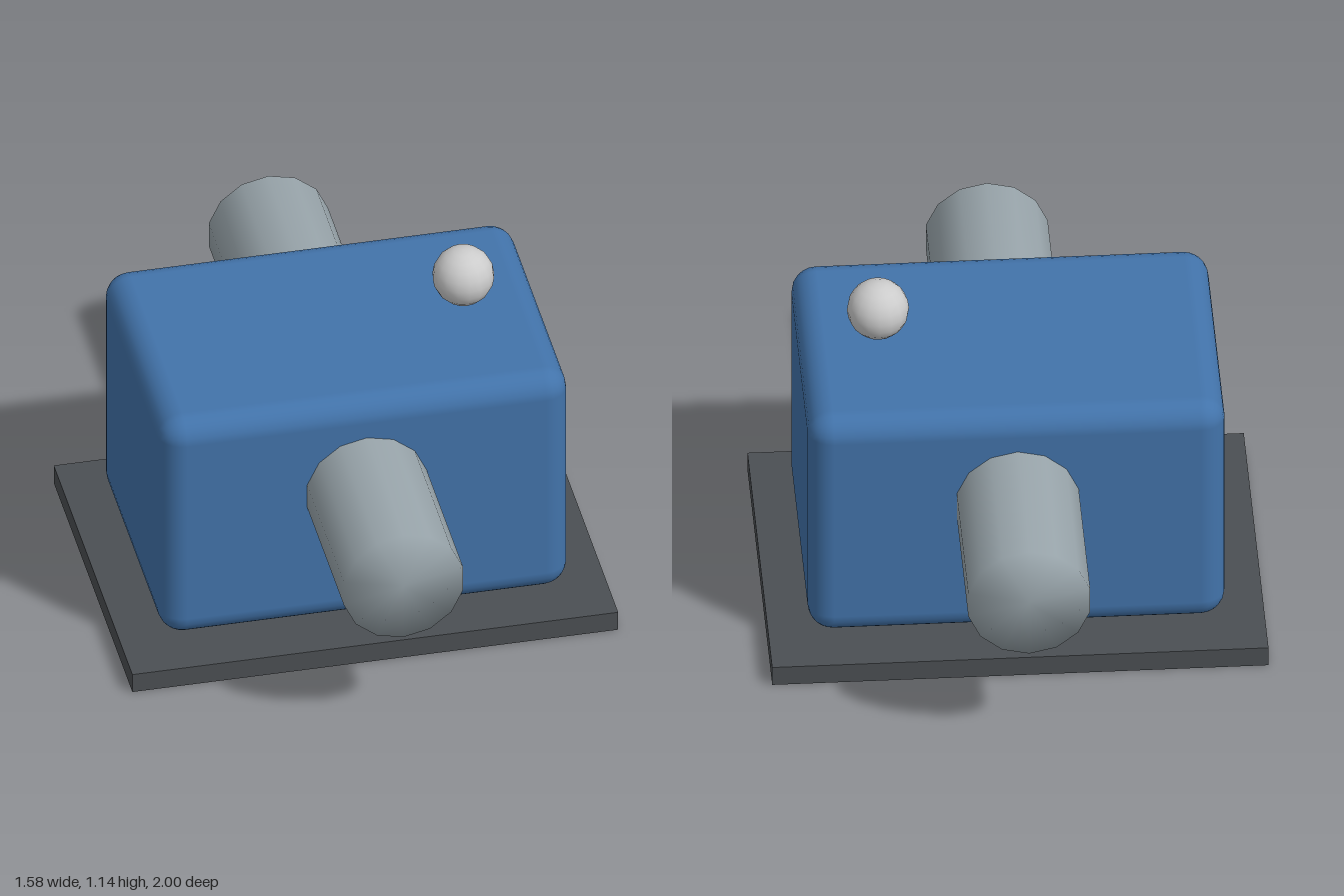
import * as THREE from 'three';
import { mergeVertices } from 'three/addons/utils/BufferGeometryUtils.js';
import { RoundedBoxGeometry } from 'three/addons/geometries/RoundedBoxGeometry.js';

// Welds every edge so that shading runs smoothly over the rims
function weld(geometry) {
  geometry.deleteAttribute('normal');
  geometry.deleteAttribute('uv');
  const welded = mergeVertices(geometry, 1e-4);
  welded.computeVertexNormals();
  return welded;
}

export function createModel() {
  const model = new THREE.Group();

  const add = (name, geometry, color, x, y, z) => {
    const mesh = new THREE.Mesh(geometry, new THREE.MeshStandardMaterial({ color }));
    mesh.name = name;
    mesh.position.set(x, y, z);
    model.add(mesh);
  };

  // Flat slab under the body, with a small gap above it
  add('basePlate', new THREE.BoxGeometry(1.58, 0.068, 1.164), 0x4b4f53, 0, 0.034, 0);

  // Round-edged block
  add('body', new RoundedBoxGeometry(1.328, 0.834, 0.914, 3, 0.08), 0x4273aa, 0, 0.502, 0);

  // Fourteen-sided pipe running front to back through the body
  const pipe = new THREE.CylinderGeometry(0.199, 0.199, 2, 14);
  pipe.rotateX(Math.PI / 2);
  add('pipe', weld(pipe), 0x98a4aa, 0, 0.586, 0);

  // Ball floating over the left half of the body
  add('ball', new THREE.SphereGeometry(0.099, 16, 10), 0xcccccc, 0.414, 1.037, 0);

  return model;
}
